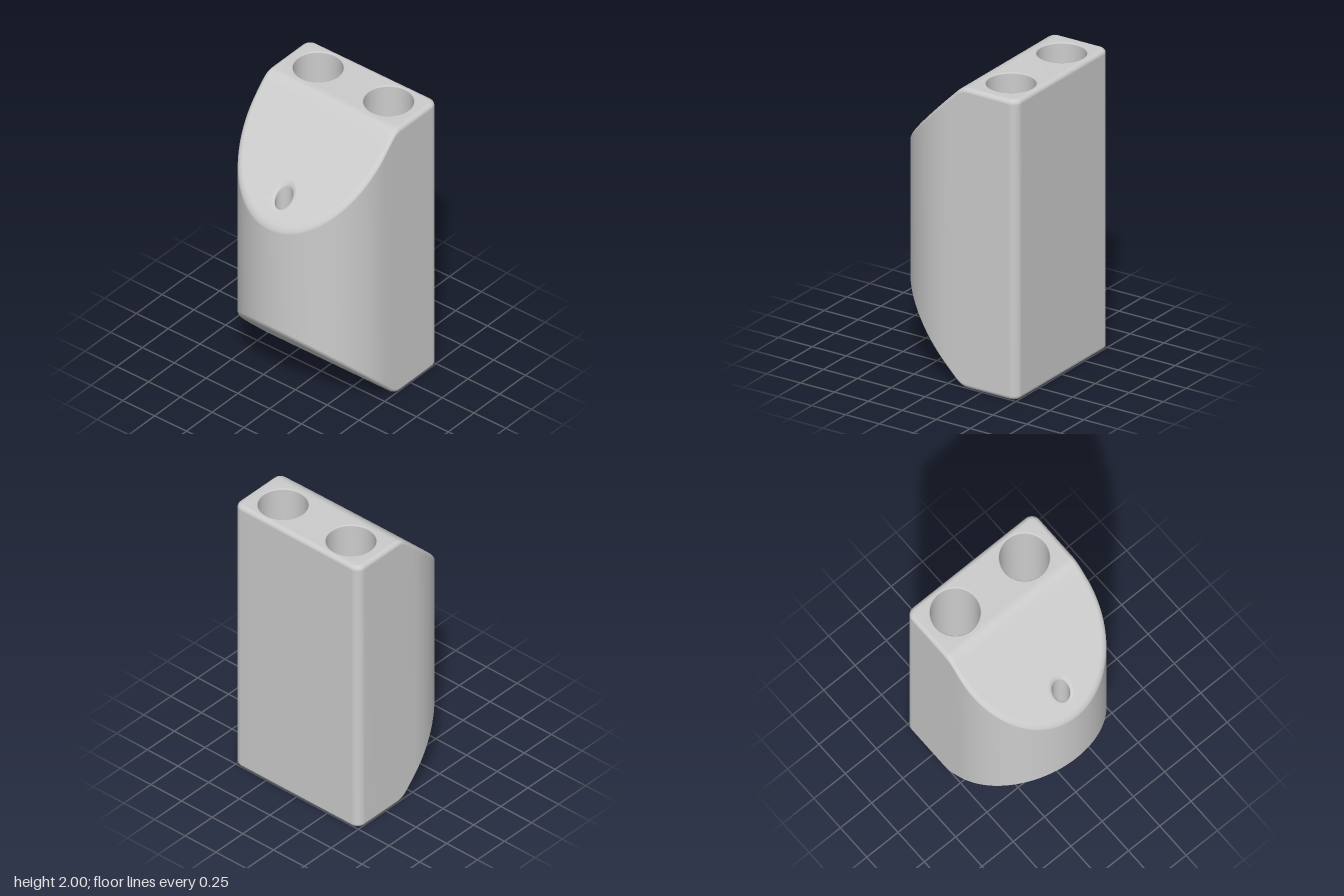
import * as THREE from 'three';
import { mergeVertices } from 'three/addons/utils/BufferGeometryUtils.js';

const H = 0.51;                                     // half width, and radius of the round front
const CORNER = 0.06;                                // back corner radius
const CREASE = [-0.14, -0.12, -0.1, -0.08, -0.06];  // soft bend where the top turns into the slope
const ARC = 64;

// Height of the top surface: flat at the back, 45 degree slope towards the front
function topHeight(z) {
  if (z < -0.14) return 2;
  if (z > -0.06) return 1.9 - z;
  return 2 - (z + 0.14) ** 2 / 0.16;
}

// D-shaped plan; every point carries its outward direction
function bodyOutline() {
  const pts = CREASE.map((z) => ({ x: H, z, nx: 1, nz: 0 }));
  const arc = (cx, cz, r, a0, a1, n) => {
    for (let i = 0; i <= n; i++) {
      const a = a0 + ((a1 - a0) * i) / n, nx = Math.cos(a), nz = Math.sin(a);
      pts.push({ x: cx + r * nx, z: cz + r * nz, nx, nz });
    }
  };
  arc(0, 0, H, 0, Math.PI, ARC);
  [...CREASE].reverse().forEach((z) => pts.push({ x: -H, z, nx: -1, nz: 0 }));
  arc(-H + CORNER, -H + CORNER, CORNER, Math.PI, Math.PI * 1.5, 8);
  arc(H - CORNER, -H + CORNER, CORNER, Math.PI * 1.5, Math.PI * 2, 8);
  return pts;
}

// Round hole; its surface faces its own axis
function holeOutline(cx, cz, r, n) {
  return Array.from({ length: n }, (_, i) => {
    const a = (-i / n) * Math.PI * 2, c = Math.cos(a), s = Math.sin(a);
    return { x: cx + r * c, z: cz + r * s, nx: -c, nz: -s };
  });
}

// One ring of an edge rounding: t = 0 on the wall, t = 1 on the cap
function roundedRing(outline, b, t) {
  const a = (t * Math.PI) / 2;
  return outline.map((p) => {
    const d = b * (1 - Math.cos(a));
    const x = p.x - p.nx * d, z = p.z - p.nz * d;
    return new THREE.Vector3(x, topHeight(z) - b * (1 - Math.sin(a)), z);
  });
}

const mirrorY = (v) => new THREE.Vector3(v.x, 2 - v.y, v.z);

export function createModel() {
  const positions = [];
  const tri = (a, b, c) => [a, b, c].forEach((v) => positions.push(v.x, v.y, v.z));

  // Wall with rounded rims at top and bottom; returns the ring where the cap begins
  function wall(outline, b, steps) {
    const upper = [];
    for (let k = steps; k >= 0; k--) upper.push(roundedRing(outline, b, k / steps));
    const lower = upper.map((ring) => ring.map(mirrorY)).reverse();
    const rings = [...upper, ...lower];
    for (let r = 0; r + 1 < rings.length; r++) {
      const a = rings[r], c = rings[r + 1];
      for (let i = 0; i < a.length; i++) {
        const j = (i + 1) % a.length;
        tri(a[i], a[j], c[i]);
        tri(a[j], c[j], c[i]);
      }
    }
    return rings[0];
  }

  // Adds a cap triangle facing up, and its mirror image facing down
  function capTri(a, b, c) {
    const area = (b.x - a.x) * (c.z - a.z) - (b.z - a.z) * (c.x - a.x);
    if (Math.abs(area) < 1e-10) return;
    if (area > 0) [b, c] = [c, b];
    tri(a, b, c);
    tri(mirrorY(a), mirrorY(c), mirrorY(b));
  }

  function cap(contour, holes) {
    const flat = (ring) => ring.map((v) => new THREE.Vector2(v.x, v.z));
    const all = [contour, ...holes].flat();
    THREE.ShapeUtils.triangulateShape(flat(contour), holes.map(flat))
      .forEach(([a, b, c]) => capTri(all[a], all[b], all[c]));
  }

  const rim = wall(bodyOutline(), 0.03, 6);
  const bigHoles = [-1, 1].map((s) => wall(holeOutline(s * 0.277, -0.315, 0.154, 48), 0.009, 3));
  const smallHole = wall(holeOutline(0, 0.36, 0.055, 32), 0.025, 5);

  // Flat back part, bent strip and sloped front part of both ends
  const K = CREASE.length, last = 2 * K + ARC;
  cap([...rim.slice(last), rim[0]], bigHoles);
  for (let i = 0; i + 1 < K; i++) {
    capTri(rim[i], rim[i + 1], rim[last - i]);
    capTri(rim[i + 1], rim[last - i - 1], rim[last - i]);
  }
  cap(rim.slice(K - 1, last - K + 2), [smallHole]);

  let geometry = new THREE.BufferGeometry();
  geometry.setAttribute('position', new THREE.Float32BufferAttribute(positions, 3));
  geometry = mergeVertices(geometry, 1e-5);
  geometry.computeVertexNormals();

  const lightGrey = new THREE.MeshStandardMaterial({ color: 0xcccccc });
  lightGrey.name = 'lightGrey';
  const block = new THREE.Mesh(geometry, lightGrey);
  block.name = 'drilledBlock';

  const group = new THREE.Group();
  group.name = 'holderBlock';
  group.add(block);
  return group;
}
